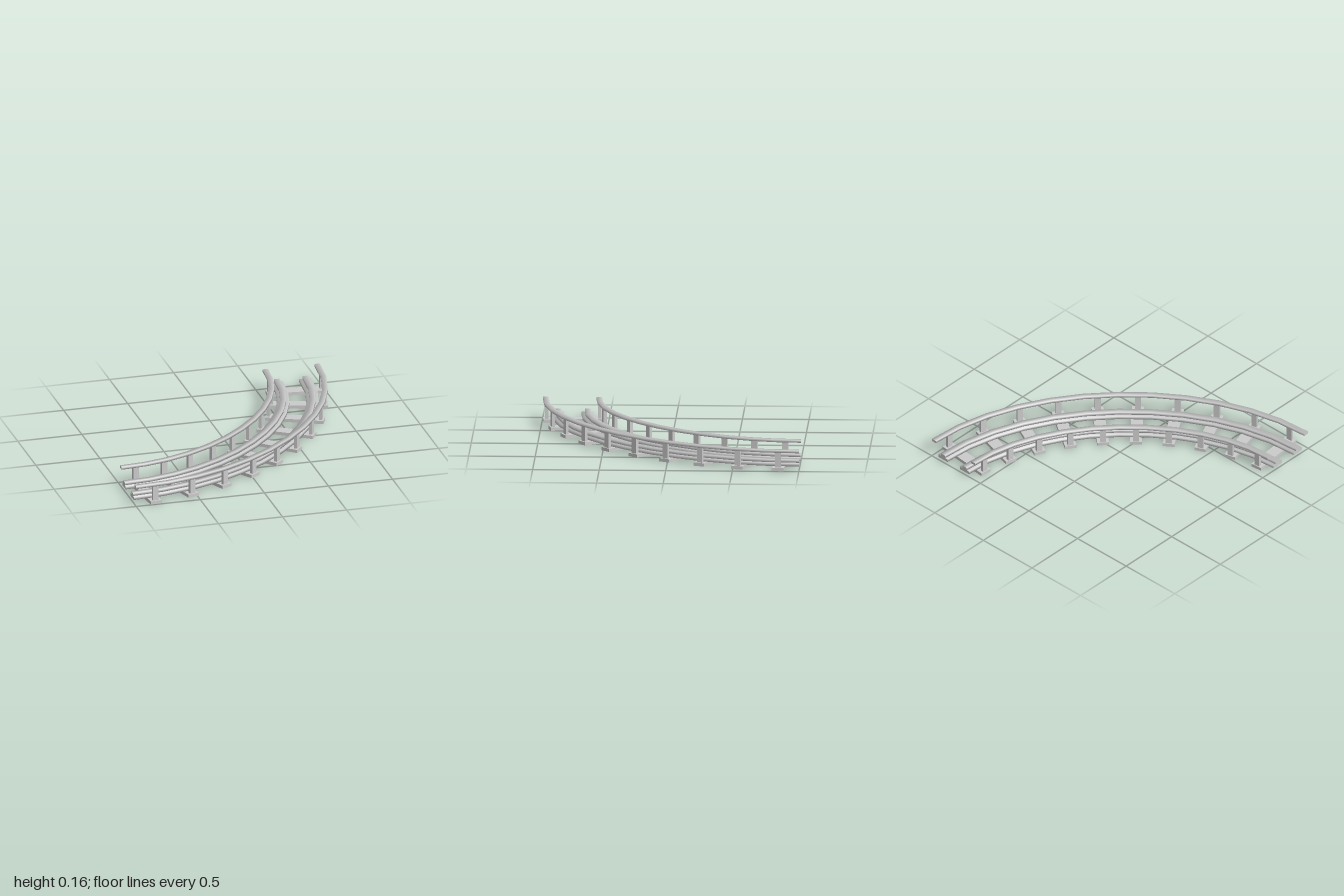
import * as THREE from 'three';

const SEGMENTS = 12;
const TIES = 10;
const END = 0.775;

// Centre line of the bend, a flattened quarter turn
const H = (1 + END) / 2 - 1;
const centreLine = new THREE.CubicBezierCurve3(
  new THREE.Vector3(-1, 0, END), new THREE.Vector3(H, 0, END),
  new THREE.Vector3(END, 0, H), new THREE.Vector3(END, 0, -1));

// Corners of a rectangular section, counterclockwise from the outer bottom
const CORNERS = [[1, -1], [1, 1], [-1, 1], [-1, -1]];

// Group on the centre line: local x runs along the track, local z points outward
function station(u) {
  const group = new THREE.Group();
  const tangent = centreLine.getTangentAt(u);
  group.position.copy(centreLine.getPointAt(u));
  group.rotation.y = Math.atan2(-tangent.z, tangent.x);
  return group;
}

// Rectangular bar along the bend, with corner normals shared by both faces
function sweepGeometry(offset, width, y0, y1) {
  const positions = [], normals = [], index = [];
  for (let i = 0; i <= SEGMENTS; i++) {
    const p = centreLine.getPoint(i / SEGMENTS);
    const d = centreLine.getTangent(i / SEGMENTS);
    for (const [sx, sy] of CORNERS) {
      const r = offset + sx * width / 2;
      positions.push(p.x - d.z * r, sy > 0 ? y1 : y0, p.z + d.x * r);
      normals.push(-d.z * sx * Math.SQRT1_2, sy * Math.SQRT1_2, d.x * sx * Math.SQRT1_2);
    }
    if (i === SEGMENTS) break;
    for (let j = 0; j < 4; j++) {
      const a = i * 4 + j, b = i * 4 + (j + 1) % 4;
      index.push(a, a + 4, b, b, a + 4, b + 4);
    }
  }
  const geometry = new THREE.BufferGeometry();
  geometry.setAttribute('position', new THREE.Float32BufferAttribute(positions, 3));
  geometry.setAttribute('normal', new THREE.Float32BufferAttribute(normals, 3));
  geometry.setIndex(index);
  return geometry;
}

export function createModel() {
  const model = new THREE.Group();
  model.name = 'curvedTrack';
  const grey = new THREE.MeshStandardMaterial({ color: 0xcccccc });

  function addMesh(parent, name, geometry, x, y, z) {
    const mesh = new THREE.Mesh(geometry, grey);
    mesh.name = name;
    mesh.position.set(x, y, z);
    parent.add(mesh);
    return mesh;
  }

  // A long bar following the bend, closed at both ends
  function bar(name, offset, width, y0, y1) {
    addMesh(model, name, sweepGeometry(offset, width, y0, y1), 0, 0, 0);
    const capGeometry = new THREE.PlaneGeometry(width, y1 - y0);
    for (const [u, turn] of [[0, -Math.PI / 2], [1, Math.PI / 2]]) {
      const end = station(u);
      end.name = name + 'End';
      addMesh(end, name + 'EndCap', capGeometry, 0, (y0 + y1) / 2, offset).rotation.y = turn;
      model.add(end);
    }
  }

  // Running rails (wide foot, narrow head) and the handrails beside them
  for (const [side, rail, hand] of [['inner', -0.112, -0.2], ['outer', 0.11, 0.203]]) {
    bar(side + 'RailFoot', rail, 0.092, 0.025, 0.049);
    bar(side + 'RailHead', rail, 0.044, 0.049, 0.071);
    bar(side + 'Handrail', hand, 0.042, 0.14, 0.16);
  }

  // Cross ties, each with a post at both ends
  const tieGeometry = new THREE.BoxGeometry(0.09, 0.025, 0.443);
  const postGeometry = new THREE.BoxGeometry(0.045, 0.125, 0.024);
  for (let i = 0; i < TIES; i++) {
    const bay = station((i + 0.5) / TIES);
    bay.name = 'tieAndPosts';
    addMesh(bay, 'tie', tieGeometry, 0, 0.0125, 0.002);
    addMesh(bay, 'innerPost', postGeometry, 0, 0.0825, -0.2);
    addMesh(bay, 'outerPost', postGeometry, 0, 0.0825, 0.199);
    model.add(bay);
  }
  return model;
}
